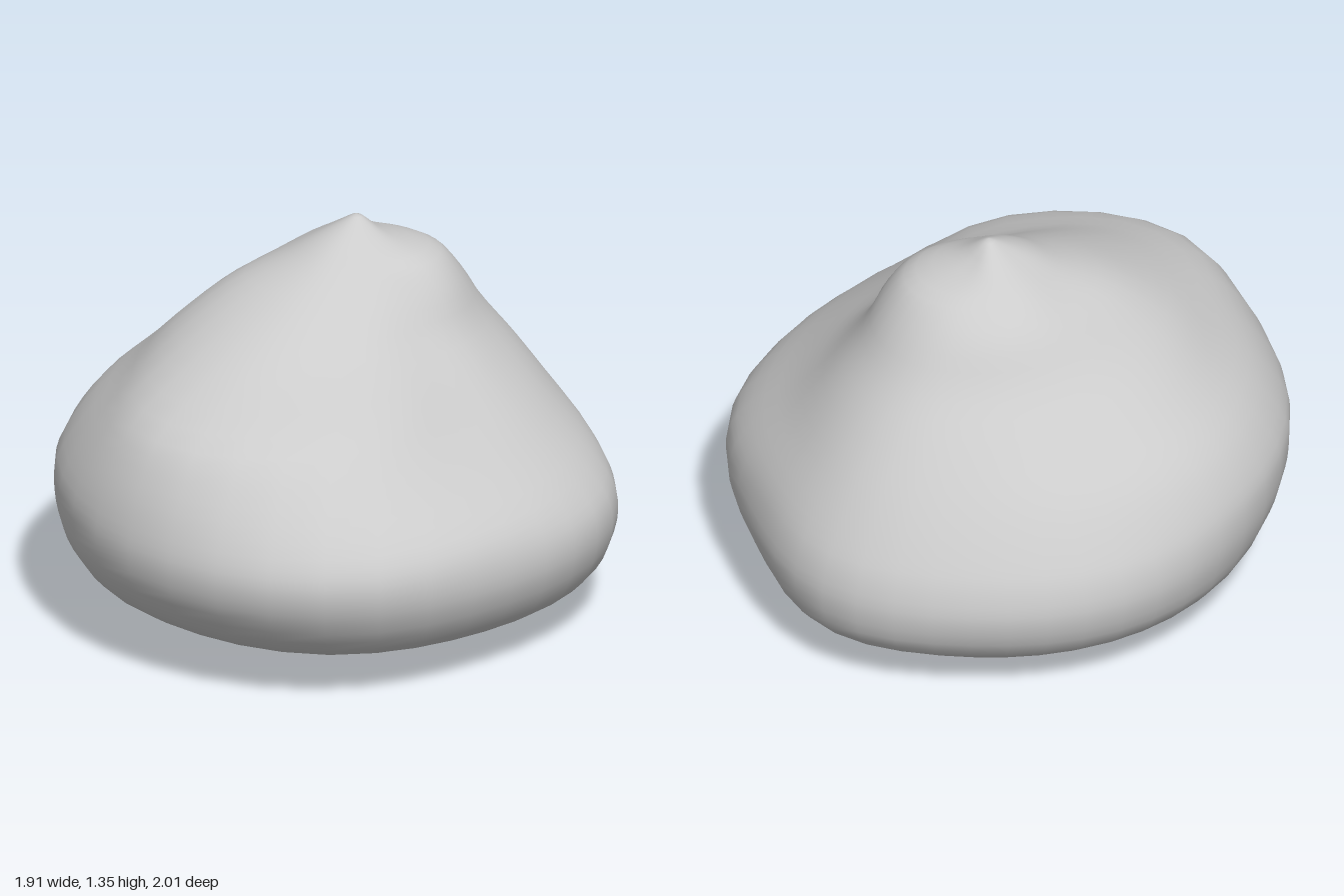
import * as THREE from 'three';

const SIDES = 40, STEPS = 40, DIRS = 10;
const AXIS = new THREE.Vector2(0.12, -0.17);

// Each level: height, then radii from the axis in ten even directions,
// starting at +x and turning towards +z.
const LEVELS = [
  [0.005, [0.41, 0.44, 0.46, 0.47, 0.47, 0.45, 0.42, 0.40, 0.39, 0.39]],
  [0.08, [0.65, 0.70, 0.73, 0.77, 0.74, 0.74, 0.70, 0.64, 0.62, 0.64]],
  [0.19, [0.78, 0.87, 0.94, 1.07, 1.02, 0.93, 0.86, 0.81, 0.78, 0.83]],
  [0.33, [0.835, 0.935, 1.02, 1.18, 1.14, 1.02, 0.92, 0.865, 0.83, 0.87]],
  [0.45, [0.82, 0.93, 1.025, 1.21, 1.17, 1.045, 0.935, 0.855, 0.81, 0.85]],
  [0.55, [0.78, 0.86, 0.98, 1.18, 1.16, 1.04, 0.92, 0.81, 0.76, 0.80]],
  [0.70, [0.67, 0.69, 0.80, 1.06, 1.11, 0.95, 0.84, 0.71, 0.66, 0.70]],
  [0.85, [0.56, 0.53, 0.59, 0.89, 1.01, 0.80, 0.68, 0.56, 0.54, 0.58]],
  [1.00, [0.445, 0.41, 0.40, 0.55, 0.72, 0.65, 0.50, 0.42, 0.41, 0.45]],
  [1.14, [0.36, 0.34, 0.29, 0.33, 0.43, 0.45, 0.35, 0.32, 0.32, 0.345]],
  [1.23, [0.28, 0.26, 0.21, 0.20, 0.24, 0.25, 0.22, 0.22, 0.22, 0.25]],
  [1.29, [0.10, 0.11, 0.11, 0.12, 0.14, 0.14, 0.12, 0.12, 0.12, 0.10]],
  [1.35, Array(DIRS).fill(0.02)],
];

// Smooth upright profile for each direction
const profiles = Array.from({ length: DIRS }, (_, d) => new THREE.CatmullRomCurve3(
  LEVELS.map(([y, radii]) => new THREE.Vector3(radii[d], y, 0))));

// Closed smooth ring of radius against angle, through all the profiles
function ringPoints(t) {
  const keys = profiles.map((p) => p.getPoint(t));
  const points = [];
  for (let i = 0; i < SIDES; i++) {
    const u = (i / SIDES) * DIRS, k = Math.floor(u), f = u - k;
    const blend = (axis) => {
      const [a, b, c, d] = [k + DIRS - 1, k, k + 1, k + 2].map((n) => keys[n % DIRS][axis]);
      return b + 0.5 * f * (c - a + f * (2 * a - 5 * b + 4 * c - d + f * (3 * (b - c) + d - a)));
    };
    const angle = (i / SIDES) * Math.PI * 2, r = blend('x');
    points.push(new THREE.Vector3(
      AXIS.x + r * Math.cos(angle), Math.max(0, blend('y')), AXIS.y + r * Math.sin(angle)));
  }
  return points;
}

function makeMesh(name, points, index, material) {
  const geometry = new THREE.BufferGeometry().setFromPoints(points);
  geometry.setIndex(index);
  geometry.computeVertexNormals();
  const mesh = new THREE.Mesh(geometry, material);
  mesh.name = name;
  return mesh;
}

export function createModel() {
  const group = new THREE.Group();
  group.name = 'moundedBody';
  const material = new THREE.MeshStandardMaterial({ color: 0xcccccc });

  // Lopsided body, lofted ring by ring and closed at the tip
  const points = [], index = [];
  for (let j = 0; j <= STEPS; j++) points.push(...ringPoints(j / STEPS));
  const tip = points.push(new THREE.Vector3(AXIS.x, 1.357, AXIS.y)) - 1;
  for (let j = 0; j <= STEPS; j++) {
    for (let i = 0; i < SIDES; i++) {
      const a = j * SIDES + i, b = j * SIDES + ((i + 1) % SIDES);
      if (j === STEPS) index.push(a, tip, b);
      else index.push(a, a + SIDES, b, b, a + SIDES, b + SIDES);
    }
  }
  group.add(makeMesh('body', points, index, material));

  // Flat round underside with a hard edge
  const base = ringPoints(0), fan = [];
  base.push(new THREE.Vector3(0.1, 0.005, -0.13));
  for (let i = 0; i < SIDES; i++) fan.push(SIDES, i, (i + 1) % SIDES);
  group.add(makeMesh('underside', base, fan, material));

  return group;
}
